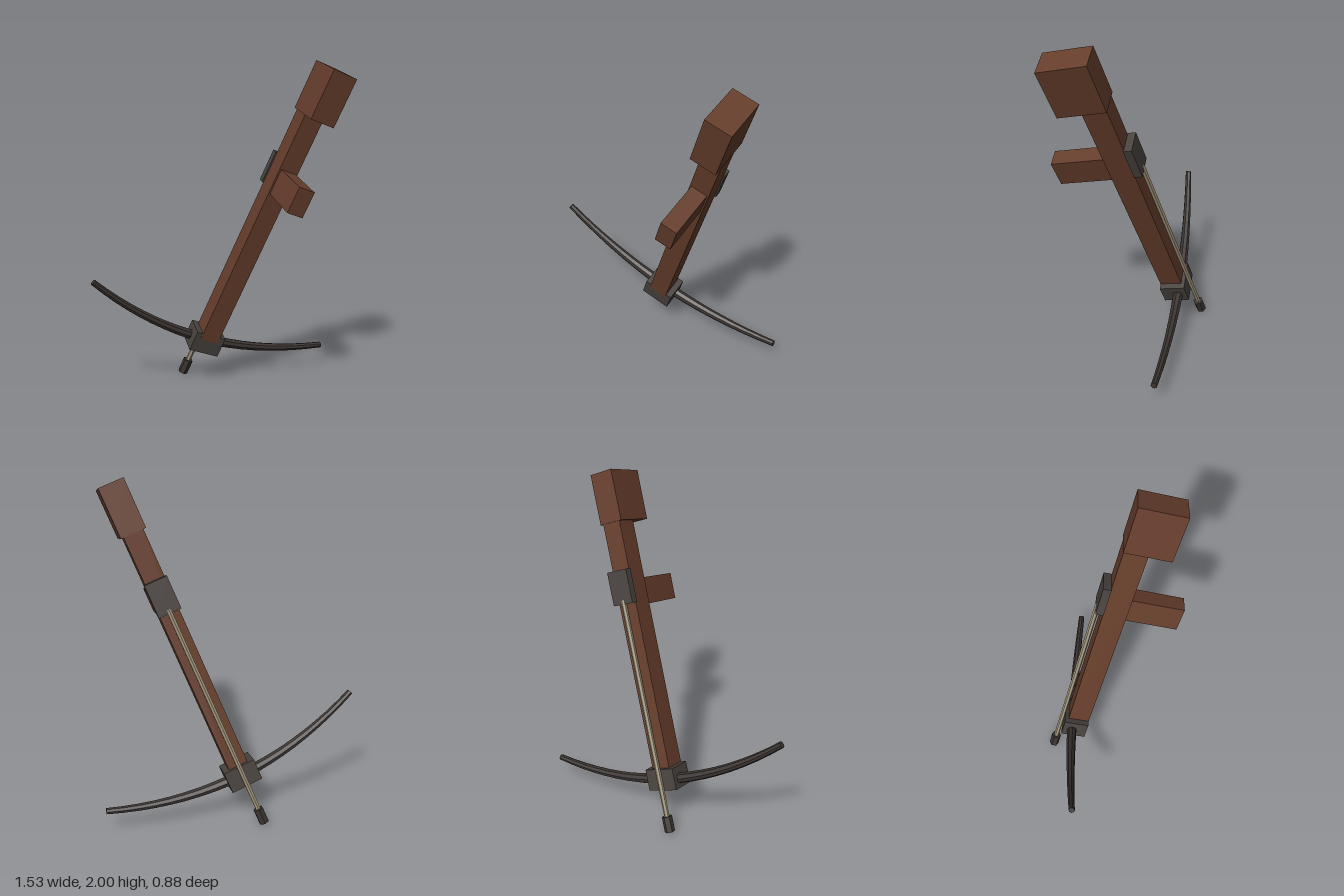
import * as THREE from 'three';

export function createModel() {
  const model = new THREE.Group();
  model.name = 'crossbow';

  const mat = (name, color) => {
    const m = new THREE.MeshStandardMaterial({ color, flatShading: true });
    m.name = name;
    return m;
  };
  const wood = mat('brown wood', 0x653d2b);
  const iron = mat('grey iron', 0x48423e);
  const dark = mat('dark horn', 0x3a3330);
  const shaft = mat('pale shaft', 0xa0947a);

  // Weapon frame: x across, y from muzzle to butt, z towards the grip
  const body = new THREE.Group();
  body.name = 'crossbowBody';
  body.applyMatrix4(new THREE.Matrix4().makeBasis(
    new THREE.Vector3(0.934, -0.351, 0.064).normalize(),
    new THREE.Vector3(0.325, 0.911, 0.253).normalize(),
    new THREE.Vector3(-0.147, -0.2155, 0.965).normalize()
  ));
  model.add(body);

  const CX = -0.16; // centre line of the weapon
  const add = (name, geo, material, y, z) => {
    const mesh = new THREE.Mesh(geo, material);
    mesh.name = name;
    mesh.position.set(CX, y, z);
    body.add(mesh);
    return mesh;
  };
  // Box given by its width and its ranges along y and z
  const block = (name, material, w, y0, y1, z0, z1) =>
    add(name, new THREE.BoxGeometry(w, y1 - y0, z1 - z0), material, (y0 + y1) / 2, (z0 + z1) / 2);

  // Wooden parts
  block('stock', wood, 0.12, 0.2, 1.8, -0.345, -0.21);
  block('butt', wood, 0.152, 1.727, 2.023, -0.35, -0.082);
  block('grip', wood, 0.1, 1.222, 1.382, -0.23, 0.098);

  // Iron parts
  block('bowMount', iron, 0.195, 0.111, 0.241, -0.369, -0.211);
  block('latch', iron, 0.138, 1.245, 1.445, -0.39, -0.343);

  // Bolt lying along the top of the stock
  add('boltShaft', new THREE.CylinderGeometry(0.016, 0.016, 1.34, 6), shaft, 0.6, -0.38);
  add('boltHead', new THREE.CylinderGeometry(0.031, 0.031, 0.095, 6), dark, -0.0925, -0.38);

  // Curved limbs, tapered from the mount to the tips
  const SPAN = 0.808, RISE = 0.17, SEG = 9, SIDES = 8;
  for (const side of [-1, 1]) {
    const points = [];
    for (let i = 0; i <= SEG; i++) {
      const t = i / SEG;
      points.push(new THREE.Vector3(side * SPAN * t, RISE * t * t, 0));
    }
    const pos = [], idx = [];
    points.forEach((p, i) => {
      const t = i / SEG, r = 0.034 - 0.015 * t;
      const tangent = new THREE.Vector2(SPAN, 2 * RISE * t).normalize();
      for (let j = 0; j < SIDES; j++) {
        const a = (j / SIDES) * Math.PI * 2;
        const n = Math.cos(a) * r;
        pos.push(p.x - side * tangent.y * n, p.y + tangent.x * n, Math.sin(a) * r);
        if (i === SEG) continue;
        const k = (j + 1) % SIDES;
        const q = [i * SIDES + j, i * SIDES + k, (i + 1) * SIDES + k, (i + 1) * SIDES + j];
        if (side > 0) idx.push(q[0], q[1], q[2], q[0], q[2], q[3]);
        else idx.push(q[0], q[2], q[1], q[0], q[3], q[2]);
      }
    });
    // Flat cap on the tip
    const end = SEG * SIDES;
    for (let j = 1; j < SIDES - 1; j++) {
      if (side > 0) idx.push(end, end + j, end + j + 1);
      else idx.push(end, end + j + 1, end + j);
    }
    const geo = new THREE.BufferGeometry();
    geo.setAttribute('position', new THREE.Float32BufferAttribute(pos, 3));
    geo.setIndex(idx);
    geo.computeVertexNormals();
    add(side > 0 ? 'leftLimb' : 'rightLimb', geo, dark, 0.166, -0.31);
  }

  return model;
}
